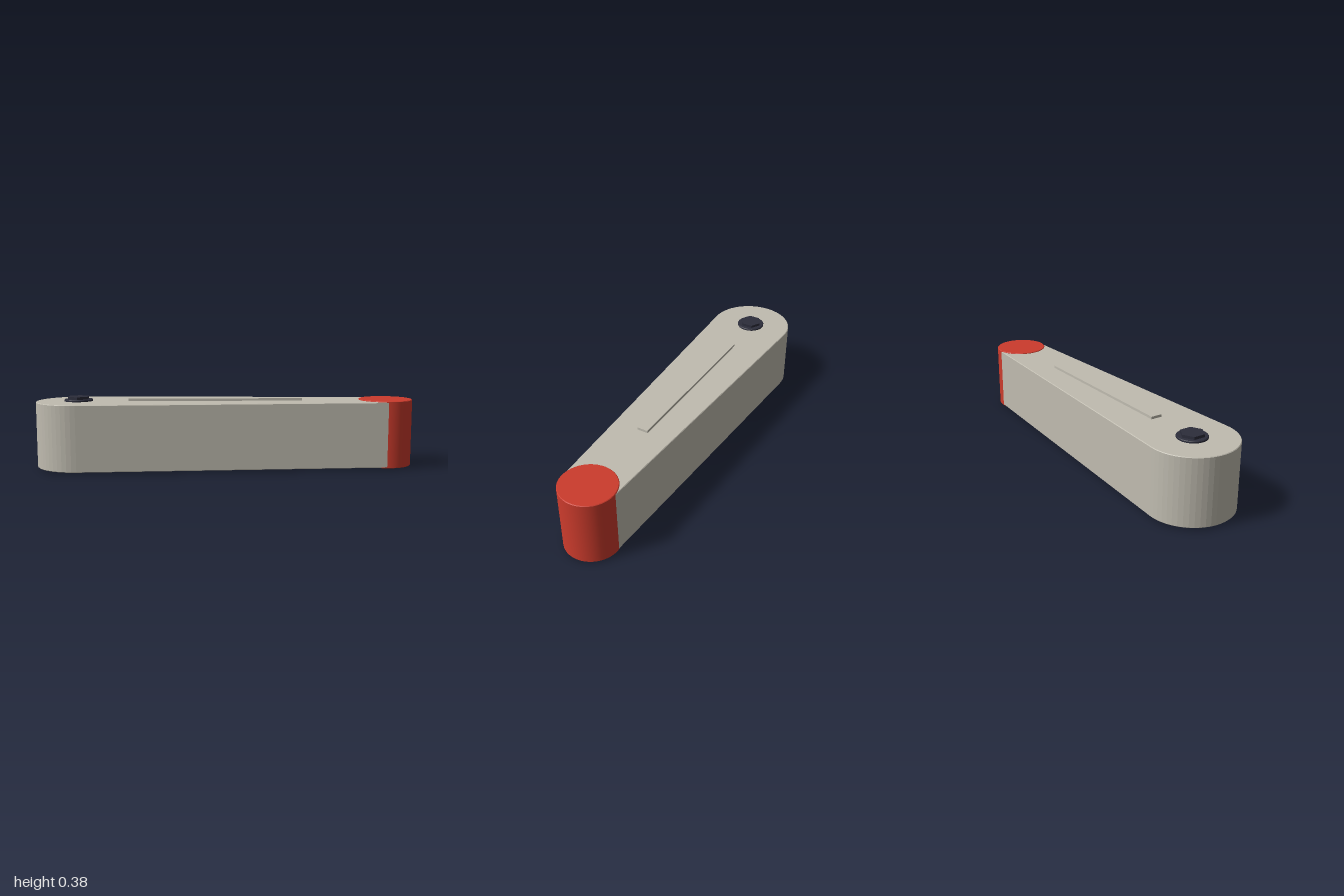
import * as THREE from 'three';

export function createModel() {
  const group = new THREE.Group();
  const stone = new THREE.MeshStandardMaterial({ name: 'warm grey', color: 0xc0bcb0 });
  const red = new THREE.MeshStandardMaterial({ name: 'red', color: 0xcc3b2c });
  const dark = new THREE.MeshStandardMaterial({ name: 'dark steel', color: 0x2c2d3b });

  const add = (name, geometry, material, x, y) => {
    const mesh = new THREE.Mesh(geometry, material);
    mesh.name = name;
    mesh.position.set(x, y, 0);
    group.add(mesh);
  };

  // Disc with small chamfers top and bottom, centred on its own height
  const chamferedDisc = (radius, height, chamfer, sides) => {
    const h = height / 2, c = chamfer;
    const profile = [[0, -h], [radius - c, -h], [radius - c, -h], [radius, c - h], [radius, c - h],
      [radius, h - c], [radius, h - c], [radius - c, h], [radius - c, h], [0, h]];
    return new THREE.LatheGeometry(profile.map(([r, y]) => new THREE.Vector2(r, y)), sides);
  };

  // Tapered arm: two end arcs joined by their common tangents
  const pivotX = -0.778, tipX = 0.858, pivotR = 0.222, tipR = 0.1405;
  const tangent = Math.acos((pivotR - tipR) / (tipX - pivotX));
  const outline = new THREE.Shape();
  outline.absarc(pivotX, 0, pivotR, tangent, 2 * Math.PI - tangent, false);
  outline.absarc(tipX, 0, tipR, -tangent, tangent, false);
  outline.closePath();
  const bevel = 0.003;
  const arm = new THREE.ExtrudeGeometry(outline, {
    depth: 0.345 - 2 * bevel, curveSegments: 14, bevelEnabled: true,
    bevelThickness: bevel, bevelSize: bevel, bevelOffset: -bevel, bevelSegments: 1,
  });
  arm.rotateX(-Math.PI / 2);
  add('arm', arm, stone, 0, 0.01 + bevel);

  // Raised rib along the top
  add('rib', new THREE.BoxGeometry(0.918, 0.016, 0.058), stone, -0.053, 0.36);

  // Coloured tip
  add('tip', chamferedDisc(0.142, 0.354, 0.003, 48), red, tipX, 0.183);

  // Pivot bolt: pin through the arm with a hexagonal head
  add('pivotPin', chamferedDisc(0.075, 0.365, 0.003, 24), dark, pivotX, 0.1825);
  add('boltHead', new THREE.CylinderGeometry(0.059, 0.059, 0.016, 6).toNonIndexed(), dark, pivotX, 0.371);
  group.getObjectByName('boltHead').geometry.computeVertexNormals();

  return group;
}
